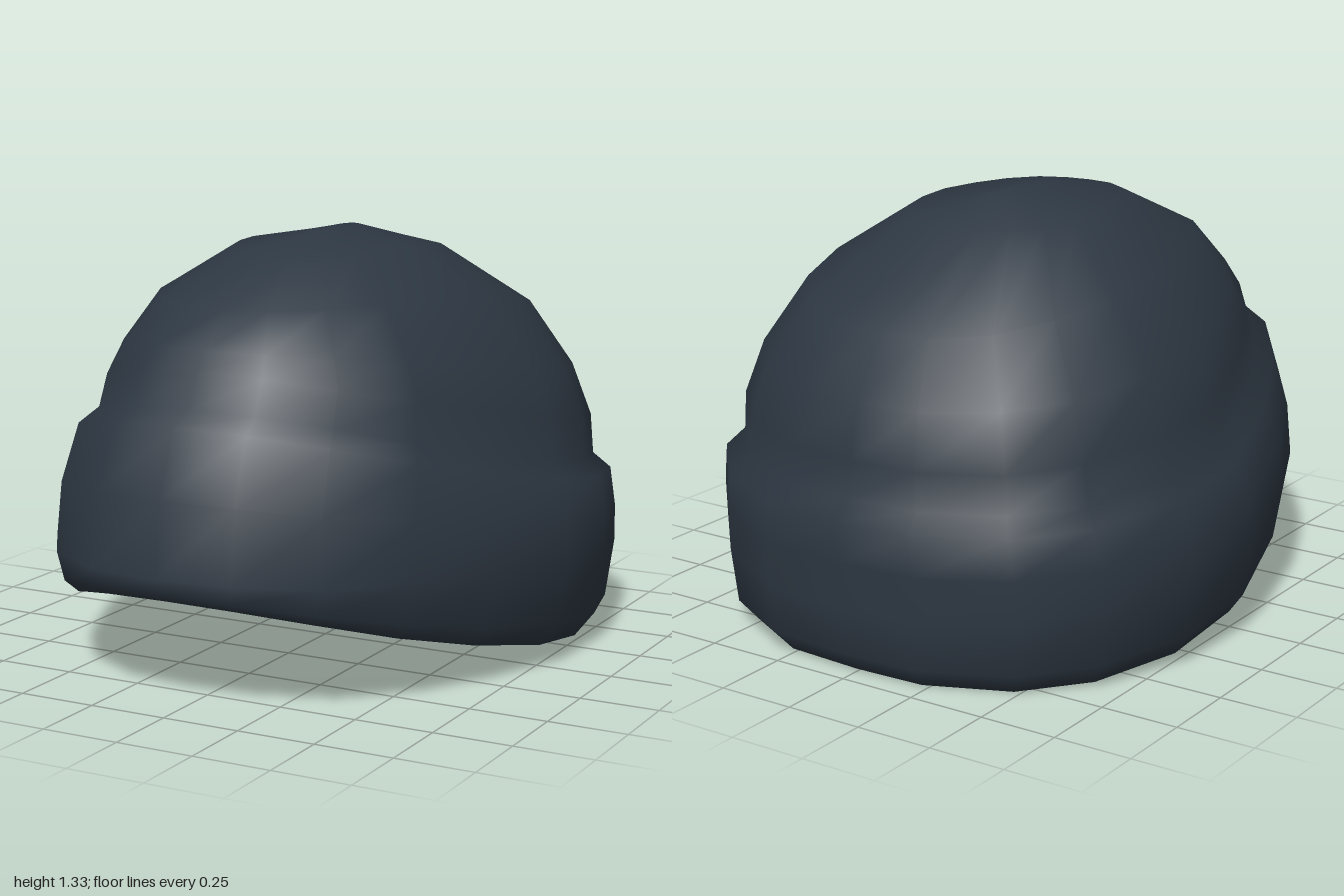
import * as THREE from 'three';

// Egg-shaped plan outline (x, z), from the front round past +x
const outline = [
  [-0.02, 1], [0.21, 0.97], [0.44, 0.86], [0.62, 0.62], [0.75, 0.32],
  [0.85, 0], [0.85, -0.31], [0.76, -0.63], [0.57, -0.84], [0.3, -0.98],
  [0.01, -1], [-0.25, -0.99], [-0.53, -0.87], [-0.71, -0.67], [-0.83, -0.37],
  [-0.85, -0.05], [-0.75, 0.33], [-0.63, 0.61], [-0.48, 0.83], [-0.26, 0.97],
];

// Skin a stack of rings: [half width, back z, front z, back y, middle y, front y]
function skin(rings) {
  const n = outline.length, pos = [], index = [];
  for (const [w, zb, zf, yb, ym, yf] of rings) {
    for (const [x, z] of outline) {
      const t = (z + 1) / 2;
      const y = yb * (1 - t) * (1 - 2 * t) + ym * 4 * t * (1 - t) + yf * t * (2 * t - 1);
      pos.push((x / 0.85) * w, y, zb + (zf - zb) * t);
    }
  }
  for (let r = 0; r < rings.length - 1; r++) {
    for (let i = 0; i < n; i++) {
      const a = r * n + i, b = r * n + (i + 1) % n;
      index.push(a, b, b + n, a, b + n, a + n);
    }
  }
  const g = new THREE.BufferGeometry();
  g.setAttribute('position', new THREE.Float32BufferAttribute(pos, 3));
  g.setIndex(index);
  g.computeVertexNormals();
  return g;
}

export function createModel() {
  const group = new THREE.Group();
  group.name = 'knitCap';
  const wool = new THREE.MeshStandardMaterial({ color: 0x2d3742 });
  wool.name = 'dark slate wool';

  const add = (name, rings) => {
    const mesh = new THREE.Mesh(skin(rings), wool);
    mesh.name = name;
    group.add(mesh);
  };

  // Cuff, higher at the front, flowing softly into the rounded crown
  const lip = [0.74, -0.89, 0.925, 0.003, 0.07, 0.337];
  add('cuffAndCrown', [
    lip,
    [0.765, -0.92, 0.95, 0.0, 0.07, 0.335],
    [0.82, -0.98, 0.985, 0.07, 0.14, 0.36],
    [0.85, -0.99, 1.0, 0.22, 0.34, 0.41],
    [0.845, -0.995, 0.97, 0.36, 0.46, 0.64],
    [0.815, -1.0, 0.89, 0.49, 0.59, 0.84],
    [0.76, -0.94, 0.81, 0.54, 0.64, 0.88],
    [0.745, -0.935, 0.76, 0.66, 0.77, 0.98],
    [0.68, -0.89, 0.715, 0.82, 0.93, 1.04],
    [0.54, -0.78, 0.62, 1.01, 1.135, 1.15],
    [0.3, -0.43, 0.34, 1.255, 1.285, 1.285],
    [0.04, -0.2, 0.08, 1.33, 1.328, 1.33],
    [0.001, -0.061, -0.06, 1.333, 1.333, 1.333],
  ]);

  // Shallow hollow underneath: sloping wall and level ceiling
  const ceilingEdge = [0.56, -0.8, 0.89, 0.36, 0.36, 0.36];
  add('hollowWall', [ceilingEdge, lip]);
  add('hollowCeiling', [[0.001, 0.04, 0.042, 0.36, 0.36, 0.36], ceilingEdge]);

  return group;
}
